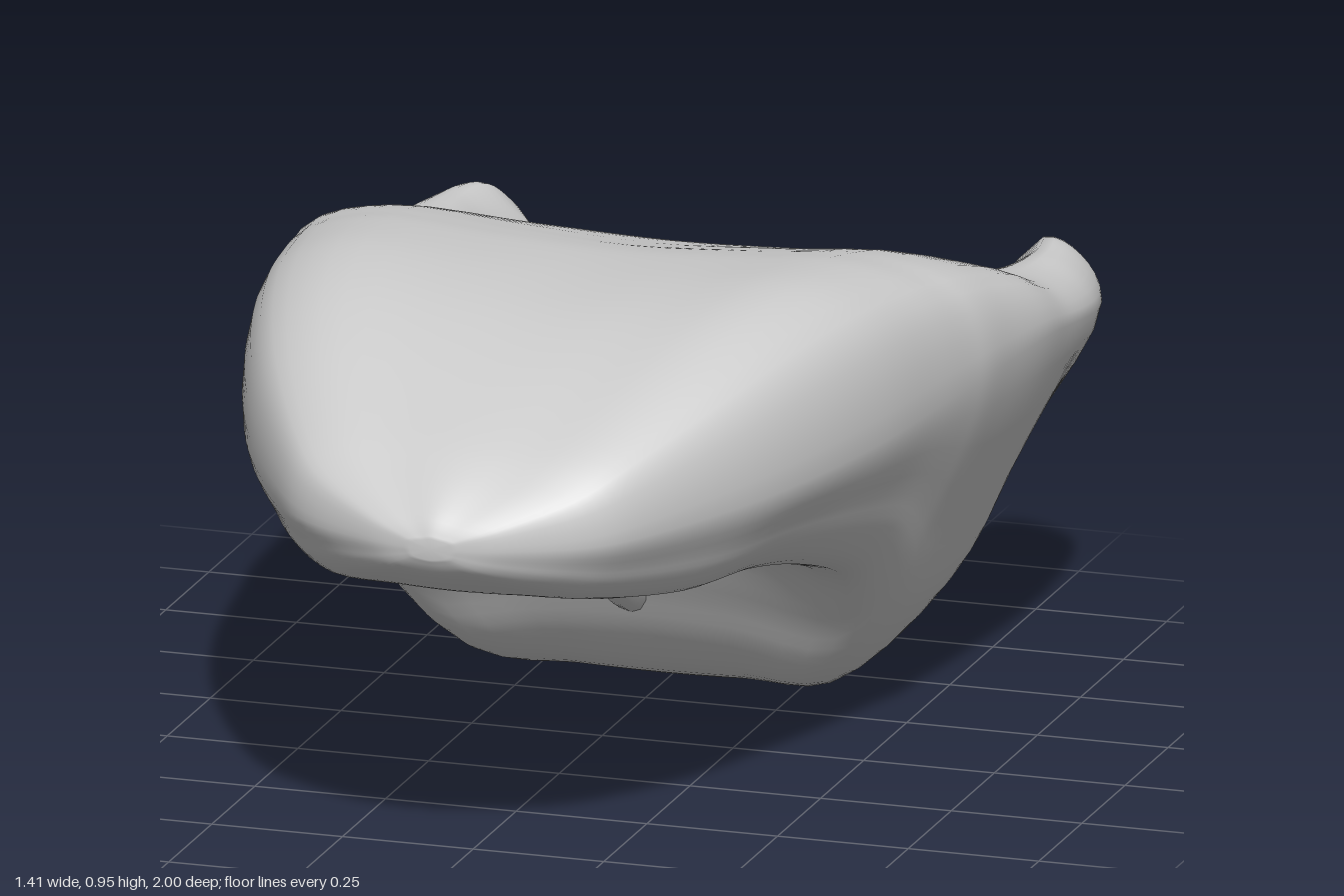
import * as THREE from 'three';

// Stations from tip to root:
// z, half width, top centre, top side, widest height, lower half width, lower side, lower centre
const STATIONS = [
  [1.0, 0.04, 0.665, 0.66, 0.645, 0.03, 0.63, 0.625],
  [0.975, 0.13, 0.705, 0.69, 0.645, 0.09, 0.6, 0.59],
  [0.9, 0.27, 0.765, 0.745, 0.645, 0.18, 0.56, 0.545],
  [0.8, 0.36, 0.815, 0.805, 0.65, 0.25, 0.52, 0.51],
  [0.6, 0.475, 0.88, 0.885, 0.66, 0.35, 0.485, 0.485],
  [0.4, 0.555, 0.92, 0.937, 0.67, 0.41, 0.475, 0.48],
  [0.2, 0.61, 0.93, 0.955, 0.68, 0.45, 0.43, 0.47],
  [0.0, 0.645, 0.92, 0.94, 0.69, 0.46, 0.35, 0.44],
  [-0.12, 0.665, 0.9, 0.92, 0.695, 0.42, 0.23, 0.27],
  [-0.2, 0.68, 0.88, 0.905, 0.7, 0.36, 0.115, 0.14],
  [-0.3, 0.69, 0.855, 0.88, 0.7, 0.33, 0.05, 0.045],
  [-0.46, 0.705, 0.81, 0.825, 0.7, 0.31, 0.02, 0.005],
  [-0.6, 0.7, 0.73, 0.765, 0.68, 0.33, 0.065, 0.055],
  [-0.72, 0.692, 0.61, 0.74, 0.66, 0.35, 0.185, 0.16],
  [-0.84, 0.675, 0.46, 0.735, 0.64, 0.36, 0.24, 0.225],
  [-0.95, 0.64, 0.375, 0.73, 0.63, 0.37, 0.285, 0.25],
  [-1.0, 0.59, 0.325, 0.68, 0.62, 0.36, 0.345, 0.285],
];

const lerp = THREE.MathUtils.lerp;

// Closed, mirrored cross-section through one interpolated station
function section([z, w, top, topSide, mid, wb, lowSide, low], count) {
  const b = THREE.MathUtils.smoothstep(-z, 0.45, 0.95);
  const half = [
    [0, top],
    [w * lerp(0.36, 0.48, b), lerp(top, topSide, lerp(0.5, 0.17, b))],
    [w * lerp(0.72, 0.83, b), topSide],
    [w * 0.94, lerp(topSide, mid, 0.26)],
    [w, mid],
    [lerp(w, wb, 0.34), lerp(mid, lowSide, 0.5)],
    [lerp(w, wb, 0.56), lerp(mid, lowSide, 0.76)],
    [wb, lowSide],
    [wb * 0.5, lerp(lowSide, low, 0.7)],
    [0, low],
  ];
  const loop = [...half, ...half.slice(1, -1).reverse().map(([x, y]) => [-x, y])];
  const curve = new THREE.CatmullRomCurve3(loop.map(([x, y]) => new THREE.Vector3(x, y, 0)), true);
  return Array.from({ length: count }, (_, i) => {
    const p = curve.getPoint(i / count);
    // The back rim is notched forward between the two horns
    const across = Math.min(1, Math.abs(p.x) / 0.57);
    p.z = z + 0.17 * b * Math.cos(across * Math.PI / 2) ** 2;
    return p;
  });
}

function bodyGeometry() {
  const N = 72, M = N / 2, ROWS = 80;
  const columns = STATIONS[0].map((_, k) =>
    new THREE.SplineCurve(STATIONS.map((s) => new THREE.Vector2(s[k], 0))));
  const points = [], index = [];
  for (let r = 0; r <= ROWS; r++) {
    points.push(...section(columns.map((c) => c.getPoint(r / ROWS).x), N));
  }
  for (let r = 0; r < ROWS; r++) {
    for (let i = 0; i < N; i++) {
      const a = r * N + i, b = r * N + ((i + 1) % N);
      index.push(a, b, a + N, b, b + N, a + N);
    }
  }
  // Tip cap
  const tip = points.length;
  points.push(new THREE.Vector3(0, 0.645, 1));
  for (let i = 0; i < N; i++) index.push(tip, (i + 1) % N, i);
  // Back rim: bridge upper and lower edges on each half
  const base = ROWS * N;
  for (const start of [0, M]) {
    for (let i = 0; i < M / 2; i++) {
      const [a, b, c, d] = [i, i + 1, M - i - 1, M - i].map((k) => base + ((start + k) % N));
      index.push(a, b, c, a, c, d);
    }
  }
  const geometry = new THREE.BufferGeometry().setFromPoints(points);
  geometry.setIndex(index);
  geometry.computeVertexNormals();
  return geometry;
}

export function createModel() {
  const group = new THREE.Group();
  group.name = 'tongue';
  const material = new THREE.MeshStandardMaterial({ color: 0xcccccc, side: THREE.DoubleSide });

  const body = new THREE.Mesh(bodyGeometry(), material);
  body.name = 'tongueBody';
  group.add(body);

  // Thin band of tissue joining the underside to the root
  const path = new THREE.CatmullRomCurve3([
    new THREE.Vector3(0, 0.48, 0.24),
    new THREE.Vector3(0, 0.42, 0.13),
    new THREE.Vector3(0, 0.33, -0.02),
    new THREE.Vector3(0, 0.26, -0.12),
    new THREE.Vector3(0, 0.22, -0.2),
  ]);
  const band = new THREE.Mesh(new THREE.TubeGeometry(path, 24, 0.04, 12), material);
  band.name = 'frenulum';
  group.add(band);

  return group;
}
